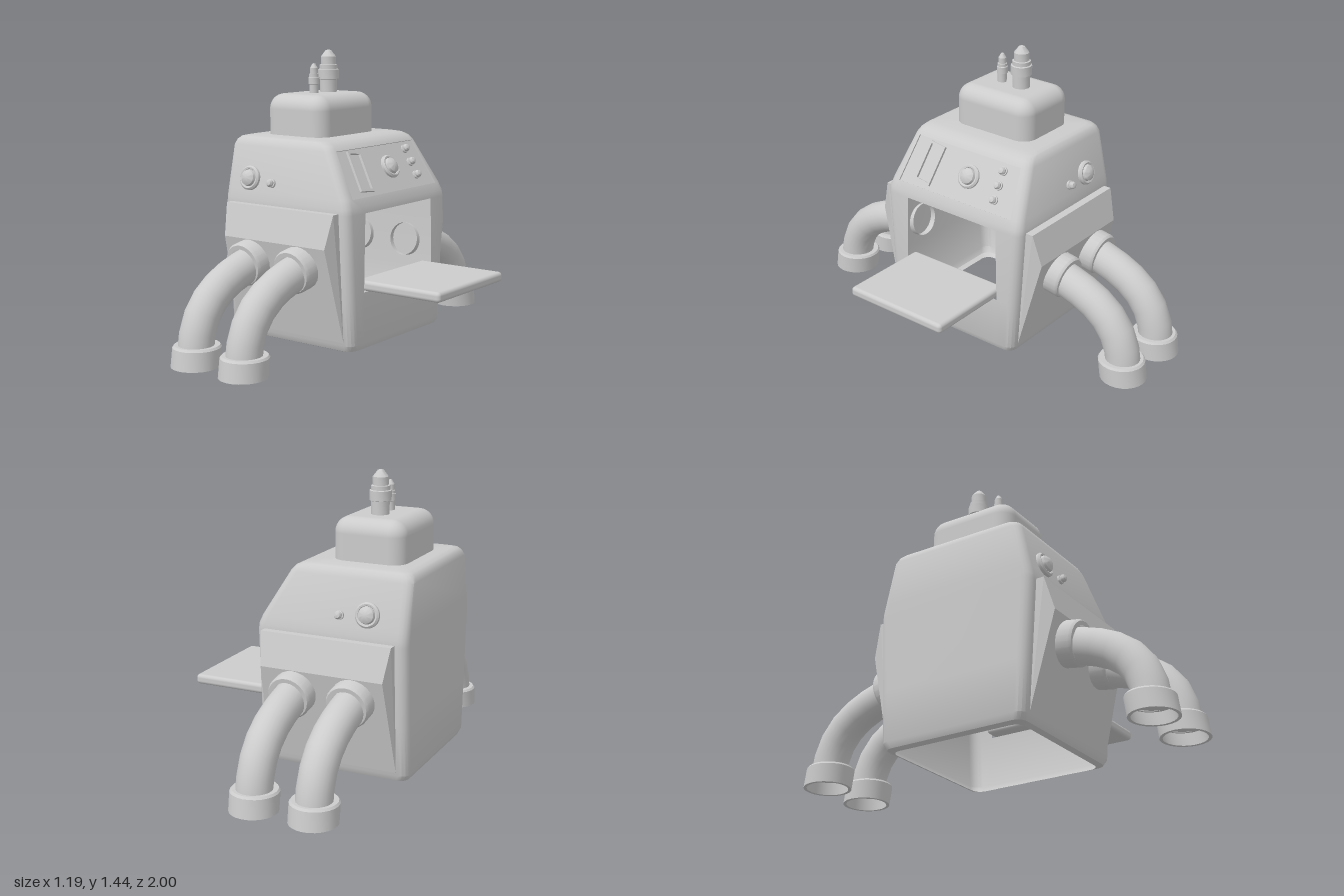
import * as THREE from 'three';
import { toCreasedNormals } from 'three/addons/utils/BufferGeometryUtils.js';
import { RoundedBoxGeometry } from 'three/addons/geometries/RoundedBoxGeometry.js';
import { ConvexGeometry } from 'three/addons/geometries/ConvexGeometry.js';

const solid = new THREE.MeshStandardMaterial({ color: 0xcccccc });
const shell = new THREE.MeshStandardMaterial({ color: 0xcccccc, side: THREE.DoubleSide });
const V = (x, y, z) => new THREE.Vector3(x, y, z);

function add(parent, name, geometry, x = 0, y = 0, z = 0, material = solid) {
  const mesh = new THREE.Mesh(geometry, material);
  mesh.name = name;
  mesh.position.set(x, y, z);
  parent.add(mesh);
  return mesh;
}

function fromTriangles(points, crease) {
  const g = new THREE.BufferGeometry().setFromPoints(points);
  g.computeVertexNormals();
  return toCreasedNormals(g, crease);
}

const lathe = (profile, sides = 24) => toCreasedNormals(
  new THREE.LatheGeometry(profile.map(([r, h]) => new THREE.Vector2(r, h)), sides), 0.6);

// Body cross-sections: height, right edge, half depth, half width of the cut-out, edge inset
const HATCH_LOW = 0.31, PANEL_LOW = 0.76, PANEL_HIGH = 0.975;
const RINGS = [
  [0.02, 0.13, 0.345, 0.285, 0.04],
  [0.03, 0.156, 0.37, 0.285, 0.014],
  [0.06, 0.17, 0.385, 0.285, 0],
  [HATCH_LOW, 0.17, 0.399, 0.288, 0],
  [0.69, 0.17, 0.42, 0.277, 0],
  [0.72, 0.166, 0.418, 0.31, 0],
  [PANEL_LOW, 0.15, 0.409, 0.35, 0],
  [PANEL_HIGH, 0.026, 0.36, 0.315, 0],
  [1.0, 0.005, 0.348, 0.3, 0.01],
  [1.014, -0.025, 0.334, 0.28, 0.024],
  [1.02, -0.065, 0.31, 0.25, 0.05],
];

function ringPoints([y, right, half, cut, inset]) {
  const r = 0.045, left = -0.6 + inset, points = [V(right, y, -cut), V(right, y, cut)];
  for (let corner = 0; corner < 4; corner++) {
    const cx = corner === 0 || corner === 3 ? right - r : left + r;
    const cz = corner < 2 ? half - r : r - half;
    for (let i = 0; i <= 4; i++) {
      const a = (corner + i / 4) * Math.PI / 2;
      points.push(V(cx + r * Math.cos(a), y, cz + r * Math.sin(a)));
    }
  }
  return points;
}

// Hollow tapering shell, open below, with the hatch and panel windows left out on its right face
function bodyGeometry() {
  const rings = RINGS.map(ringPoints), n = rings[0].length, tris = [];
  for (let k = 0; k < rings.length - 1; k++) {
    const lo = rings[k], hi = rings[k + 1];
    const isOpen = RINGS[k][0] === HATCH_LOW || RINGS[k][0] === PANEL_LOW;
    for (let i = isOpen ? 1 : 0; i < n; i++) {
      const j = (i + 1) % n;
      tris.push(lo[i], hi[i], hi[j], lo[i], hi[j], lo[j]);
    }
  }
  const top = rings[rings.length - 1], centre = V(-0.3, 1.02, 0);
  for (let i = 0; i < n; i++) tris.push(centre, top[(i + 1) % n], top[i]);
  return fromTriangles(tris, 0.6);
}

// Slightly sunken face and four jambs filling the panel window
function panelGeometry() {
  const [lo, hi] = [PANEL_LOW, PANEL_HIGH].map(y => RINGS.find(r => r[0] === y));
  const outer = [V(lo[1], lo[0], lo[3]), V(lo[1], lo[0], -lo[3]),
    V(hi[1], hi[0], -hi[3]), V(hi[1], hi[0], hi[3])];
  const inner = outer.map(p => p.clone().add(V(-0.006, -0.0035, 0)));
  const tris = [];
  const quad = (a, b, c, d) => tris.push(a, b, c, a, c, d);
  quad(...inner);
  for (let i = 0; i < 4; i++) {
    const j = (i + 1) % 4;
    quad(outer[i], outer[j], inner[j], inner[i]);
  }
  return fromTriangles(tris, 0.1);
}

// Rectangular rim, facing +x
function slotFrameGeometry(w, h, rim, depth) {
  const corners = (a, b) => [[-a, -b], [a, -b], [a, b], [-a, b]].map(p => new THREE.Vector2(...p));
  const shape = new THREE.Shape(corners(w / 2, h / 2));
  shape.holes.push(new THREE.Path(corners(w / 2 - rim, h / 2 - rim)));
  return new THREE.ExtrudeGeometry(shape, { depth, bevelEnabled: false }).rotateY(Math.PI / 2);
}

const dialGeometry = lathe([[0.06, -0.01], [0.06, 0.012], [0.052, 0.02], [0.044, 0.018],
  [0.042, 0.014], [0.038, 0.028], [0.022, 0.039], [0, 0.043]]);
const buttonGeometry = lathe([[0.022, -0.01], [0.022, 0.01], [0.017, 0.012], [0.019, 0.022],
  [0.014, 0.033], [0, 0.038]], 16);
const antennaGeometry = lathe([[0.044, -0.02], [0.044, 0.065], [0.053, 0.068], [0.053, 0.115],
  [0.046, 0.118], [0.046, 0.138], [0.038, 0.14], [0.038, 0.18], [0.015, 0.21], [0, 0.215]], 12);

// Sloped control panel; local x points out of it
function controlPanel(parent) {
  const panel = new THREE.Group();
  panel.name = 'controlPanel';
  panel.position.set(0.082, 0.865, 0);
  panel.rotation.z = Math.atan(0.575);
  parent.add(panel);
  add(panel, 'slotFrame', slotFrameGeometry(0.1, 0.21, 0.013, 0.016), -0.004, 0.005, 0.2).rotation.x = -0.12;
  add(panel, 'panelDial', dialGeometry, -0.003, 0.005, -0.045).rotation.z = -Math.PI / 2;
  for (const y of [-0.062, 0.01, 0.083])
    add(panel, 'panelButton', buttonGeometry, -0.003, y, -0.225).rotation.z = -Math.PI / 2;
}

// One bent leg with its collar and hollow foot
function leg(parent, x) {
  const g = new THREE.Group();
  g.name = 'leg';
  g.position.x = x;
  parent.add(g);
  const path = new THREE.CubicBezierCurve3(
    V(0, 0.44, 0.38), V(0, 0.39, 0.7), V(0, 0.3, 0.865), V(0, 0.06, 0.883));
  add(g, 'legTube', new THREE.TubeGeometry(path, 8, 0.085, 24), 0, 0, 0, shell);
  const collar = add(g, 'legCollar', lathe([[0.108, -0.08], [0.108, 0.03], [0.1, 0.042], [0.08, 0.042]]),
    0, 0.427, 0.51);
  collar.rotation.x = Math.PI / 2 + 0.17;
  const foot = lathe([[0, 0.06], [0.1, 0.06], [0.1, 0], [0.115, 0], [0.115, 0.09], [0.107, 0.1], [0.08, 0.1]]);
  foot.applyMatrix4(new THREE.Matrix4().makeShear(0, 0, 0, -0.15, 0, 0));
  add(g, 'foot', foot, 0, 0, 0.885);
}

// Hood, dials and pair of legs on the front (s = 1) or back (s = -1)
function side(parent, s) {
  const g = new THREE.Group();
  g.name = s > 0 ? 'frontSide' : 'backSide';
  g.rotation.y = s > 0 ? 0 : Math.PI;
  parent.add(g);

  const corners = [];
  for (const [x0, x1, y, z] of [[-0.542, 0.12, 0.7, 0.421], [-0.542, 0.12, 0.7, 0.46],
    [-0.52, 0.1, 0.54, 0.503], [-0.545, 0.122, 0.075, 0.388]])
    corners.push(V(s * x0, y, z), V(s * x1, y, z));
  add(g, 'legHood', new ConvexGeometry(corners));

  const shift = s > 0 ? 0 : 0.04;
  const tilt = Math.PI / 2 - 0.23;
  add(g, 'sideDial', dialGeometry, s * (-0.44 + shift), 0.82, 0.396).rotation.x = tilt;
  add(g, 'sideButton', buttonGeometry, s * (-0.3 + shift), 0.805, 0.399).rotation.x = tilt;
  for (const x of [-0.365, -0.067]) leg(g, s * x);
}

export function createModel() {
  const model = new THREE.Group();
  model.name = 'walkingMachine';

  add(model, 'body', bodyGeometry(), 0, 0, 0, shell);
  add(model, 'panelFace', panelGeometry(), 0, 0, 0, shell);
  add(model, 'shelf', new RoundedBoxGeometry(0.48, 0.05, 0.57, 3, 0.018), 0.353, 0.34, 0);
  controlPanel(model);

  // Head block and its two antennas
  add(model, 'head', new RoundedBoxGeometry(0.365, 0.29, 0.46, 4, 0.075), -0.312, 1.077, 0);
  add(model, 'largeAntenna', antennaGeometry, -0.31, 1.22, -0.058);
  add(model, 'smallAntenna', antennaGeometry, -0.31, 1.22, 0.06).scale.set(0.52, 0.7, 0.52);

  for (const s of [1, -1]) side(model, s);
  return model;
}
